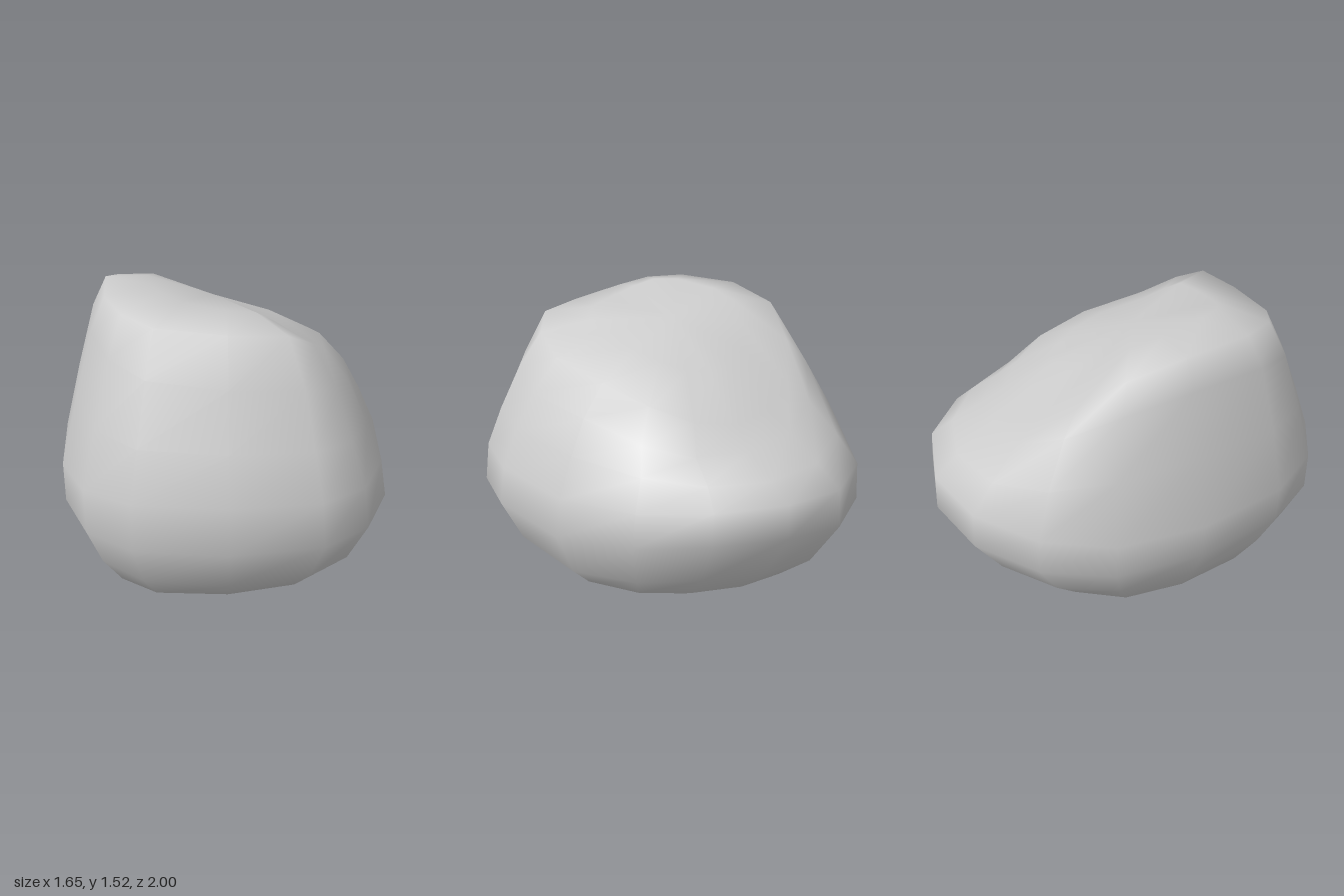
import * as THREE from 'three';

const SIDES = 16;

// Each ring: [x, y] at the -x side, [x, y] at the +x side,
// [z, y] at the front, [z, y] at the back, then the height change of the
// front -x, front +x and back +x corners, and the squareness of the outline.
const RINGS = [
  [-0.3, 0.0, 0.22, 0.045, 0.32, 0.015, -0.2, 0.025, 0, 0.01, 0, 0.8],
  [-0.49, 0.015, 0.45, 0.065, 0.55, 0.015, -0.44, 0.045, -0.01, 0.03, 0.02, 0.8],
  [-0.67, 0.145, 0.63, 0.16, 0.77, 0.125, -0.69, 0.19, -0.02, 0.03, 0.05, 0.83],
  [-0.76, 0.32, 0.73, 0.27, 0.91, 0.28, -0.86, 0.34, 0, 0.03, 0.08, 0.83],
  [-0.83, 0.51, 0.825, 0.51, 1.0, 0.51, -1.0, 0.58, 0, 0.01, 0.09, 0.83],
  [-0.83, 0.7, 0.79, 0.7, 0.985, 0.74, -0.985, 0.77, 0, 0, 0.05, 0.83],
  [-0.74, 1.04, 0.7, 0.89, 0.9, 0.95, -0.86, 0.87, 0, 0, -0.01, 0.79],
  [-0.65, 1.35, 0.61, 1.05, 0.79, 1.2, -0.7, 0.99, 0.02, 0.01, -0.07, 0.77],
  [-0.58, 1.49, 0.48, 1.19, 0.69, 1.41, -0.58, 1.06, 0.02, 0.025, -0.06, 0.77],
  [-0.38, 1.495, 0.25, 1.3, 0.46, 1.445, -0.34, 1.24, 0.04, 0.01, -0.04, 0.8],
];

// Rounded-box outline: a power below 1 squares off the corners
const squared = (v, e) => Math.sign(v) * Math.pow(Math.abs(v), e);

function ringPoint(ring, t) {
  const [lx, ly, rx, ry, fz, fy, bz, by, frontLow, frontHigh, backHigh, square] = ring;
  const c = Math.cos(t), s = Math.sin(t);
  const e = square - 0.14 * s; // front corners are squarer than the back
  const x = squared(c, e) * (c > 0 ? rx : -lx);
  const z = squared(s, e) * (s > 0 ? fz : -bz) + 0.05 * c * c; // widest just ahead of the middle
  const front = c > 0 ? frontHigh : frontLow;
  const back = c > 0 ? backHigh : 0;
  const corner = Math.abs(2 * c * s) * (s > 0 ? front : back);
  const y = c * c * (c > 0 ? ry : ly) + s * s * (s > 0 ? fy : by) + corner;
  return [x, y, z];
}

// Closed skin over the rings, with one shared point at each end
function boulderGeometry() {
  const positions = [], index = [];
  for (const ring of RINGS) {
    for (let j = 0; j < SIDES; j++) {
      positions.push(...ringPoint(ring, (j / SIDES) * Math.PI * 2));
    }
  }
  const bottom = RINGS.length * SIDES, top = bottom + 1;
  positions.push(-0.03, 0.02, 0.06, -0.06, 1.4, 0.06);

  const last = (RINGS.length - 1) * SIDES;
  for (let j = 0; j < SIDES; j++) {
    const n = (j + 1) % SIDES;
    for (let k = 0; k < RINGS.length - 1; k++) {
      const a = k * SIDES + j, b = k * SIDES + n;
      index.push(a, a + SIDES, b, b, a + SIDES, b + SIDES);
    }
    index.push(bottom, j, n);
    index.push(top, last + n, last + j);
  }

  const geometry = new THREE.BufferGeometry();
  geometry.setAttribute('position', new THREE.Float32BufferAttribute(positions, 3));
  geometry.setIndex(index);
  geometry.computeVertexNormals();
  return geometry;
}

export function createModel() {
  const group = new THREE.Group();
  group.name = 'rock';
  const boulder = new THREE.Mesh(
    boulderGeometry(),
    new THREE.MeshStandardMaterial({ color: 0xcccccc })
  );
  boulder.name = 'boulder';
  group.add(boulder);
  return group;
}
